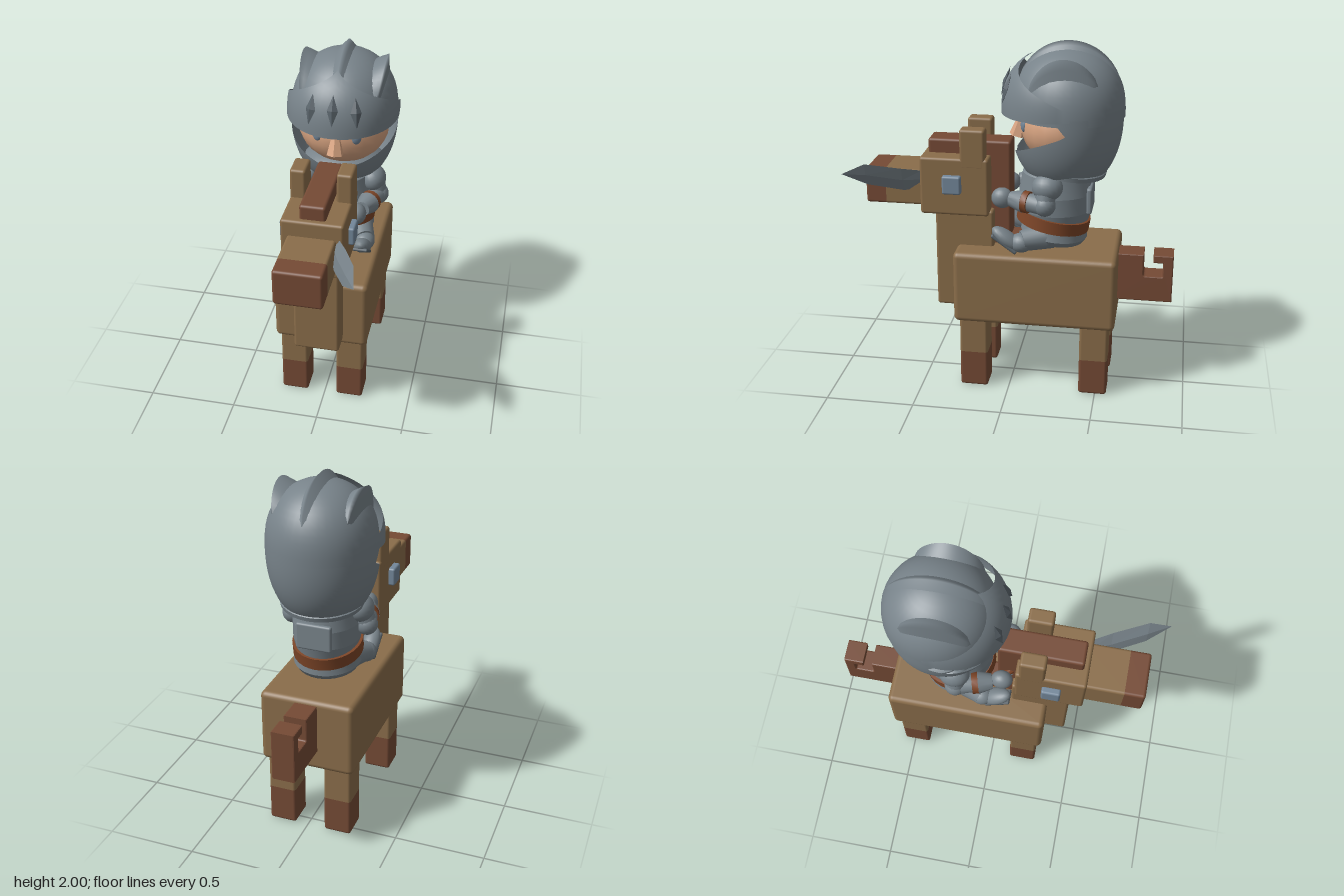
import * as THREE from 'three';
import { toCreasedNormals } from 'three/addons/utils/BufferGeometryUtils.js';
import { RoundedBoxGeometry } from 'three/addons/geometries/RoundedBoxGeometry.js';
import { ParametricGeometry } from 'three/addons/geometries/ParametricGeometry.js';

const { sin, cos, abs, PI, hypot, sqrt, max, min } = Math;
const V = (x, y, z) => new THREE.Vector3(x, y, z);

function material(name, color, side = THREE.FrontSide) {
  const m = new THREE.MeshStandardMaterial({ color, side });
  m.name = name;
  return m;
}

export function createModel() {
  const hide = material('tan wood', 0x8a6d4a);
  const dark = material('dark brown wood', 0x754a35);
  const steel = material('steel', 0x78838a, THREE.DoubleSide);
  const blue = material('blue grey eye', 0x73879a);
  const skin = material('skin', 0xd9a582);
  const leather = material('leather', 0x7d4527);
  const shade = material('dark steel', 0x59636a);

  const model = new THREE.Group();
  const horse = new THREE.Group();
  horse.name = 'horse';
  const knight = new THREE.Group();
  knight.name = 'knight';
  model.add(horse, knight);

  function add(parent, name, geo, mat) {
    const mesh = new THREE.Mesh(geo, mat);
    mesh.name = name;
    parent.add(mesh);
    return mesh;
  }

  // Rounded box between limits; lo/hi clamp one axis to split it by colour
  function box(name, mat, [x0, x1], [y0, y1], [z0, z1], r = 0.016, axis = 'Y', lo = -9, hi = 9) {
    const g = new RoundedBoxGeometry(x1 - x0, y1 - y0, z1 - z0, 3, r);
    g.translate((x0 + x1) / 2, (y0 + y1) / 2, (z0 + z1) / 2);
    const p = g.attributes.position;
    for (let i = 0; i < p.count; i++) p['set' + axis](i, min(hi, max(lo, p['get' + axis](i))));
    return add(horse, name, g, mat);
  }

  // ---------- Horse ----------
  box('horseBody', hide, [-0.28, 0.25], [0.42, 0.84], [-0.6, 0.31], 0.03);
  box('horseNeck', hide, [-0.14, 0.115], [0.46, 1.05], [0.1, 0.43]);
  box('horseHead', hide, [-0.18, 0.155], [1.03, 1.36], [0.12, 0.505]);
  box('muzzle', hide, [-0.145, 0.115], [1.065, 1.27], [0.45, 0.825], 0.016, 'Z', -9, 0.71);
  box('muzzleTip', dark, [-0.145, 0.115], [1.065, 1.27], [0.45, 0.825], 0.016, 'Z', 0.71);
  box('maneTop', dark, [-0.085, 0.055], [1.34, 1.44], [0.03, 0.475]);
  box('maneBack', dark, [-0.085, 0.055], [0.8, 1.44], [0.01, 0.14]);
  box('saddlePad', dark, [-0.085, 0.055], [0.8, 0.89], [-0.225, 0.05]);
  for (const x of [-0.1375, 0.1125]) box('ear', hide, [x - 0.043, x + 0.043], [1.3, 1.525], [0.14, 0.28]);
  for (const x of [-0.195, 0.165]) box('horseEye', blue, [x - 0.022, x + 0.022], [1.16, 1.265], [0.27, 0.375], 0.012);
  for (const x of [-0.1775, 0.1475])
    for (const z of [0.2, -0.485]) {
      const lim = [[x - 0.0775, x + 0.0775], [0.005, 0.46], [z - 0.08, z + 0.08]];
      box('leg', hide, ...lim, 0.016, 'Y', 0.22);
      box('hoof', dark, ...lim, 0.016, 'Y', -9, 0.22);
    }

  // Hooked tail, drawn in side profile (x axis = distance backwards)
  const tail = new THREE.Shape();
  tail.moveTo(0.57, 0.54);
  for (const [a, b] of [[0.9, 0.54], [0.9, 0.81], [0.8, 0.81], [0.8, 0.775], [0.855, 0.775], [0.855, 0.695]]) tail.lineTo(a, b);
  tail.quadraticCurveTo(0.855, 0.68, 0.84, 0.68);
  tail.lineTo(0.755, 0.68);
  tail.quadraticCurveTo(0.735, 0.68, 0.735, 0.7);
  tail.lineTo(0.735, 0.81);
  tail.lineTo(0.57, 0.81);
  const tailGeo = new THREE.ExtrudeGeometry(tail, { depth: 0.114, bevelThickness: 0.008, bevelSize: 0.006, bevelSegments: 2 });
  tailGeo.rotateY(PI / 2);
  add(horse, 'tail', tailGeo, dark).position.set(-0.072, 0, 0);

  // ---------- Helmet ----------
  // Skull radius factor by height, and a point on the skull at an angle from the front
  const TOP = 0.34, MID = 1.62;
  const factor = (y) => sqrt(max(0, 1 - ((y > MID ? (y - MID) / TOP : (MID - y) / 0.45)) ** 2.4));
  const skull = (t, a, y, off = 0, k = 1) => {
    const f = factor(y) * k;
    return t.set((0.295 * f + off) * sin(a), y, -0.3 + (0.305 * f + off) * cos(a));
  };
  const surface = (name, mat, nu, nv, fn) => add(knight, name, new ParametricGeometry(fn, nu, nv), mat);

  surface('helmetDome', steel, 40, 14, (u, v, t) => skull(t, PI * 2 * u, MID - 0.02 + (TOP + 0.0195) * sin(v * PI / 2)));
  // Lower shell opens for the face and closes again under the chin
  const opening = (y) => {
    if (y < 1.385) return 0;
    return y < 1.55 ? 1.62 * ((y - 1.385) / 0.165) ** 0.75 : 1.62 - (y - 1.55) * 2.6;
  };
  surface('helmetJaw', steel, 48, 24, (u, v, t) => {
    const y = 1.29 + 0.35 * v, a0 = opening(y), a = a0 + (2 * PI - 2 * a0) * u;
    skull(t, a, y, 0.012 + 0.012 * cos(a), 0.975);
  });
  const visorPoint = (t, a, y) => skull(t, a, y, 0.012 + 0.05 * max(0, cos(a)));
  surface('visor', steel, 32, 12, (u, v, t) => {
    const s = 2 * u - 1, bottom = 1.61 + 0.02 * s * s;
    visorPoint(t, s * 1.68, bottom + v * (0.32 - 0.27 * abs(s)));
  });
  for (const a of [-0.37, 0, 0.37]) {
    const slit = add(knight, 'visorSlit', toCreasedNormals(new THREE.OctahedronGeometry(1), 0.1), shade);
    visorPoint(slit.position, a, 1.765 - abs(a) * 0.03);
    slit.scale.set(0.03, 0.085, 0.016);
    slit.rotation.set(-0.3, a, 0, 'YXZ');
  }
  // Pointed ridges running front to back over the dome
  function ridge(X, z0, z1, width, lift) {
    surface('helmetRidge', steel, 4, 20, (u, v, t) => {
      const s = 2 * v - 1, w = 2 * u - 1, e = 1 - s * s;
      const z = z0 + (z1 - z0) * v, x = X + w * width * sqrt(e);
      const f = min(1, hypot(x / 0.295, (z + 0.3) / 0.305));
      const h = lift * (1 - abs(w)) * sqrt(e) * 1.1 - 0.004;
      t.set(x + h * X * 2.5, MID + TOP * (1 - f * f) ** (1 / 2.4) + h, z);
    });
  }
  ridge(0, -0.02, -0.58, 0.045, 0.04);
  for (const s of [-1, 1]) ridge(s * 0.2, -0.1, -0.47, 0.04, 0.06);

  // ---------- Face ----------
  function ball(name, mat, p, scale, parent = knight) {
    const m = add(parent, name, new THREE.SphereGeometry(1, 20, 14), mat);
    m.position.set(...p);
    m.scale.set(...scale);
    return m;
  }
  ball('face', skin, [0, 1.54, -0.27], [0.255, 0.22, 0.23]);
  const nose = add(knight, 'nose', toCreasedNormals(new THREE.CylinderGeometry(0.018, 0.048, 0.13, 6), 0.5), skin);
  nose.position.set(0, 1.53, -0.035);
  nose.rotation.x = -0.22;
  for (const s of [-1, 1]) {
    ball('eye', blue, [s * 0.11, 1.555, -0.068], [0.027, 0.037, 0.014]).rotation.y = s * 0.45;
    const brow = add(knight, 'eyebrow', new THREE.BoxGeometry(0.09, 0.014, 0.009), leather);
    brow.position.set(s * 0.11, 1.612, -0.078);
    brow.rotation.set(0, s * 0.45, s * 0.2);
  }

  // ---------- Torso ----------
  function lathe(name, mat, pts, [x, y, z], sx, sz, tilt = 0) {
    const geo = new THREE.LatheGeometry(pts.map((p) => new THREE.Vector2(...p)), 32);
    const m = add(knight, name, toCreasedNormals(geo, 0.6), mat);
    m.position.set(x, y, z);
    m.scale.set(sx, 1, sz);
    m.rotation.x = tilt;
    return m;
  }
  lathe('breastplate', steel, [[0.86, 0], [0.99, 0.1], [1, 0.2], [0.9, 0.31], [0.6, 0.36], [0, 0.37]], [0, 0.96, -0.235], 0.185, 0.205);
  lathe('skirt', steel, [[0, 0], [0.93, 0], [1.02, 0.03], [0.95, 0.1]], [0, 0.885, -0.225], 0.185, 0.185, -0.12);
  lathe('belt', leather, [[0.9, -0.035], [1.03, -0.035], [1.03, 0.035], [0.9, 0.035]], [0, 1.0, -0.225], 0.187, 0.2, -0.18);
  lathe('gorget', steel, [[0, -0.03], [1, -0.03], [1.02, -0.005], [0.9, 0.02], [0, 0.03]], [0, 1.315, -0.31], 0.225, 0.205, -0.13);
  const back = add(knight, 'backPlate', new RoundedBoxGeometry(0.2, 0.15, 0.03, 3, 0.012), steel);
  back.position.set(0, 1.13, -0.43);

  // ---------- Arms and legs ----------
  function limb(name, mat, a, b, r0, r1) {
    const d = b.clone().sub(a);
    const m = add(knight, name, toCreasedNormals(new THREE.CylinderGeometry(r1, r0, d.length(), 14), 0.6), mat);
    m.position.copy(a).addScaledVector(d, 0.5);
    m.quaternion.setFromUnitVectors(V(0, 1, 0), d.normalize());
    return m;
  }
  for (const s of [-1, 1]) {
    const shoulder = V(s * 0.175, 1.26, -0.2), elbow = V(s * 0.215, 1.14, -0.2), hand = V(s * 0.15, 1.15, 0.03);
    const at = (t) => elbow.clone().lerp(hand, t);
    ball('pauldron', steel, [s * 0.185, 1.235, -0.21], [0.07, 0.075, 0.085]).rotation.z = s * 0.4;
    limb('upperArm', steel, shoulder, elbow, 0.062, 0.054);
    ball('elbow', steel, elbow.toArray(), [0.06, 0.06, 0.06]);
    limb('forearm', steel, elbow, at(0.55), 0.054, 0.05);
    limb('armStrap', leather, at(0.38), at(0.52), 0.061, 0.061);
    limb('gauntletCuff', steel, at(0.52), at(0.85), 0.064, 0.042);
    ball('hand', steel, [s * 0.14, 1.145, 0.045], [0.05, 0.058, 0.06]);

    limb('thigh', steel, V(s * 0.1, 0.93, -0.22), V(s * 0.165, 0.905, -0.07), 0.08, 0.058);
    ball('heel', steel, [s * 0.165, 0.895, -0.065], [0.058, 0.055, 0.065]);
    const boot = ball('boot', steel, [s * 0.165, 0.915, 0.015], [0.052, 0.042, 0.1]);
    boot.rotation.x = -0.62;
    const sole = add(knight, 'bootSole', new RoundedBoxGeometry(0.09, 0.02, 0.17, 2, 0.009), shade);
    sole.position.set(s * 0.165, 0.892, 0.028);
    sole.rotation.x = -0.62;
  }

  // ---------- Sword: diamond sections swept from the hand to the tip ----------
  const stations = [[0.08, 1.2, 1.09], [0.5, 1.275, 1.165], [0.6, 1.297, 1.152], [0.785, 1.338, 1.205], [0.905, 1.285, 1.283]];
  const blade = new ParametricGeometry((u, v, t) => {
    const [z, top, low] = stations[Math.round(v * 4)];
    const a = Math.round(u * 4) * PI / 2, half = (top - low) / 2, y = half * sin(a);
    t.set(0.11 + (z - 0.5) * 0.43 + y * 0.4 + 0.012 * cos(a) * (half > 0.01 ? 1 : 0), (top + low) / 2 + y, z);
  }, 4, 4).toNonIndexed();
  blade.computeVertexNormals();
  add(knight, 'swordBlade', blade, steel);
  limb('swordGrip', leather, V(-0.16, 1.13, 0.0), V(-0.06, 1.145, 0.1), 0.02, 0.02);

  return model;
}
